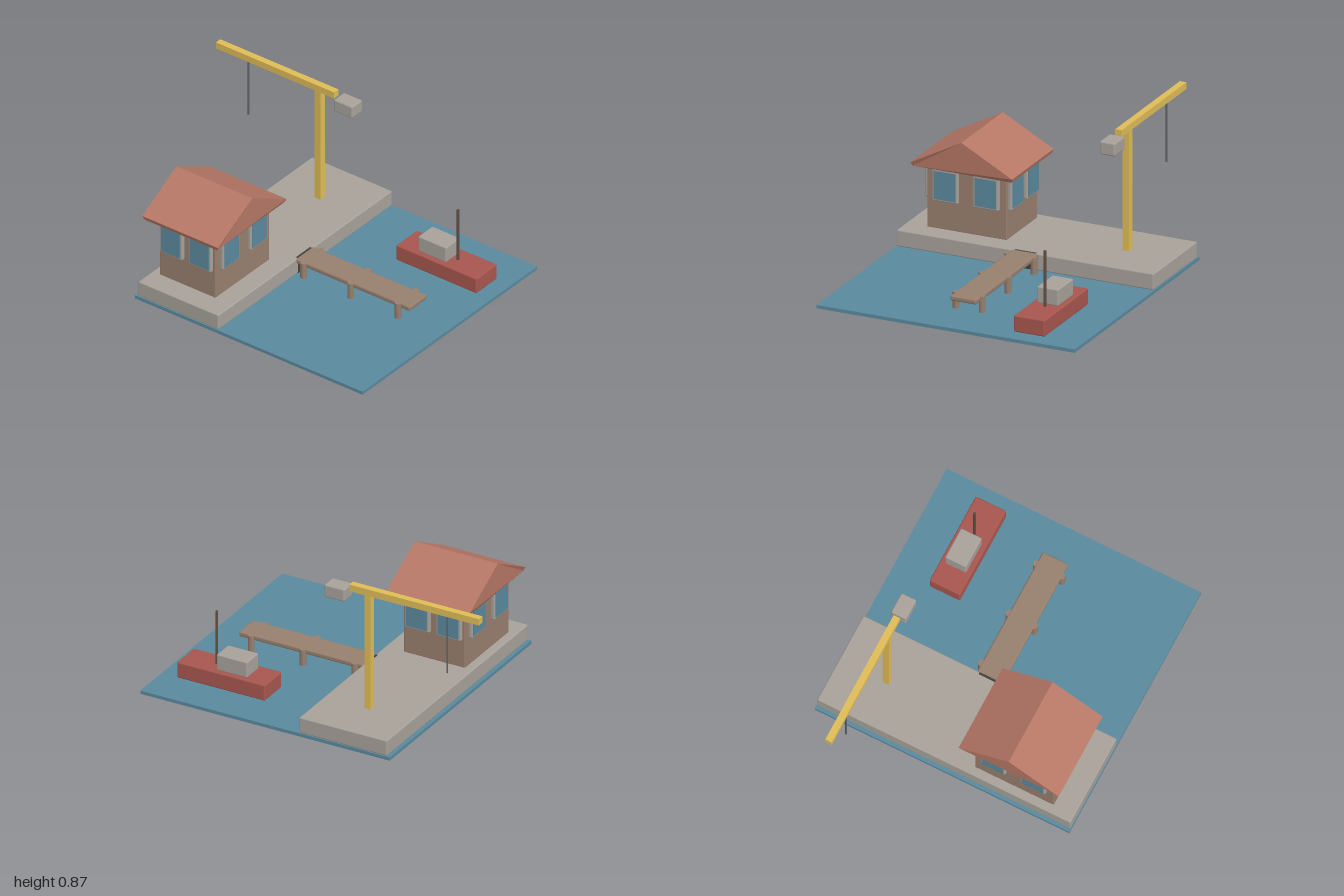
import * as THREE from 'three';
import { RoundedBoxGeometry } from 'three/addons/geometries/RoundedBoxGeometry.js';

const paint = (name, color) => {
  const m = new THREE.MeshStandardMaterial({ color });
  m.name = name;
  return m;
};

export function createModel() {
  const model = new THREE.Group();
  model.name = 'harbour';
  const water = paint('water blue', 0x5a899d);
  const seabed = paint('seabed dark', 0x2b383f);
  const stone = paint('stone grey', 0xa7a19a);
  const wood = paint('wood brown', 0x977f6e);
  const timber = paint('dark timber', 0x5f4c42);
  const tile = paint('roof terracotta', 0xb67766);
  const red = paint('hull red', 0xa7564e);
  const yellow = paint('crane yellow', 0xdfbc57);
  const steel = paint('cable steel', 0x5c6064);
  const dark = paint('fender dark', 0x45403c);

  const add = (parent, name, geometry, material) => {
    const mesh = new THREE.Mesh(geometry, material);
    mesh.name = name;
    parent.add(mesh);
    return mesh;
  };
  const group = (name, parent = model) => {
    const g = new THREE.Group();
    g.name = name;
    parent.add(g);
    return g;
  };
  // Box given by its limits on each axis, with optional softened edges
  const box = (parent, name, [x0, x1], [y0, y1], [z0, z1], material, radius = 0) => {
    const size = [x1 - x0, y1 - y0, z1 - z0];
    const g = radius ? new RoundedBoxGeometry(...size, 2, radius) : new THREE.BoxGeometry(...size);
    g.translate((x0 + x1) / 2, (y0 + y1) / 2, (z0 + z1) / 2);
    return add(parent, name, g, material);
  };
  const rod = (parent, name, r, x, [y0, y1], z, material) =>
    add(parent, name, new THREE.CylinderGeometry(r, r, y1 - y0, 12).translate(x, (y0 + y1) / 2, z), material);

  // Water slab with a dark underside, and the quay on it
  box(model, 'water', [-0.59, 1], [0, 0.02], [-0.793, 0.793],
    [water, water, water, seabed, water, water]);
  box(model, 'quay', [-0.57, -0.01], [0.02, 0.118], [-0.79, 0.79], stone, 0.008);

  // House walls
  const house = group('house');
  const cx = -0.325, cz = 0.415, hx = 0.195, hz = 0.245;
  box(house, 'walls', [cx - hx, cx + hx], [0.115, 0.5], [cz - hz, cz + hz], wood, 0.006);

  // Gabled roof with its ridge along x and its lower edge tucked in
  const profile = new THREE.Shape([
    [-0.305, 0.488], [0.305, 0.488], [0.312, 0.511], [0, 0.678], [-0.312, 0.511],
  ].map(([z, y]) => new THREE.Vector2(z, y)));
  const roof = new THREE.ExtrudeGeometry(profile, { depth: 0.53, bevelEnabled: false });
  roof.translate(0, 0, -0.265);
  const p = roof.attributes.position;
  for (let i = 0; i < p.count; i++) if (p.getY(i) < 0.5) p.setZ(i, p.getZ(i) * 0.955);
  roof.computeVertexNormals();
  roof.rotateY(Math.PI / 2).translate(cx, 0, cz);
  add(house, 'roof', roof, tile);

  // Two framed windows on each of the four walls
  for (let side = 0; side < 4; side++) {
    const wall = group('windowWall', house);
    wall.position.set(cx, 0.382, cz);
    wall.rotation.y = side * Math.PI / 2;
    const out = side % 2 ? hx : hz;
    const gap = side % 2 ? 0.125 : 0.1;
    for (const s of [-1, 1]) {
      const x = s * gap;
      box(wall, 'windowFrame', [x - 0.079, x + 0.079], [-0.096, 0.096],
        [out - 0.005, out + 0.022], stone, 0.008);
      box(wall, 'windowGlass', [x - 0.066, x + 0.066], [-0.083, 0.083],
        [out + 0.019, out + 0.026], water);
    }
  }

  // Jetty
  const jetty = group('jetty');
  box(jetty, 'deck', [-0.02, 0.78], [0.088, 0.119], [-0.08, 0.08], wood, 0.01);
  box(jetty, 'fender', [-0.03, -0.005], [0.02, 0.1185], [-0.068, 0.068], dark, 0.006);
  for (const x of [0.04, 0.37, 0.7])
    for (const z of [-0.08, 0.08]) rod(jetty, 'post', 0.019, x, [0.01, 0.117], z, wood);

  // Boat
  const boat = group('boat');
  box(boat, 'hull', [0.34, 0.9], [0.02, 0.118], [-0.56, -0.37], red, 0.008);
  box(boat, 'cabin', [0.47, 0.665], [0.115, 0.214], [-0.53, -0.4], stone, 0.008);
  rod(boat, 'mast', 0.008, 0.7, [0.1, 0.448], -0.465, timber);

  // Crane
  const crane = group('crane');
  box(crane, 'tower', [-0.31, -0.27], [-0.0005, 0.835], [-0.516, -0.476], yellow);
  box(crane, 'jib', [-1, -0.175], [0.828, 0.868], [-0.516, -0.476], yellow);
  box(crane, 'counterweight', [-0.158, -0.028], [0.764, 0.843], [-0.544, -0.449], stone, 0.01);
  rod(crane, 'cable', 0.005, -0.787, [0.466, 0.835], -0.496, steel);
  return model;
}
